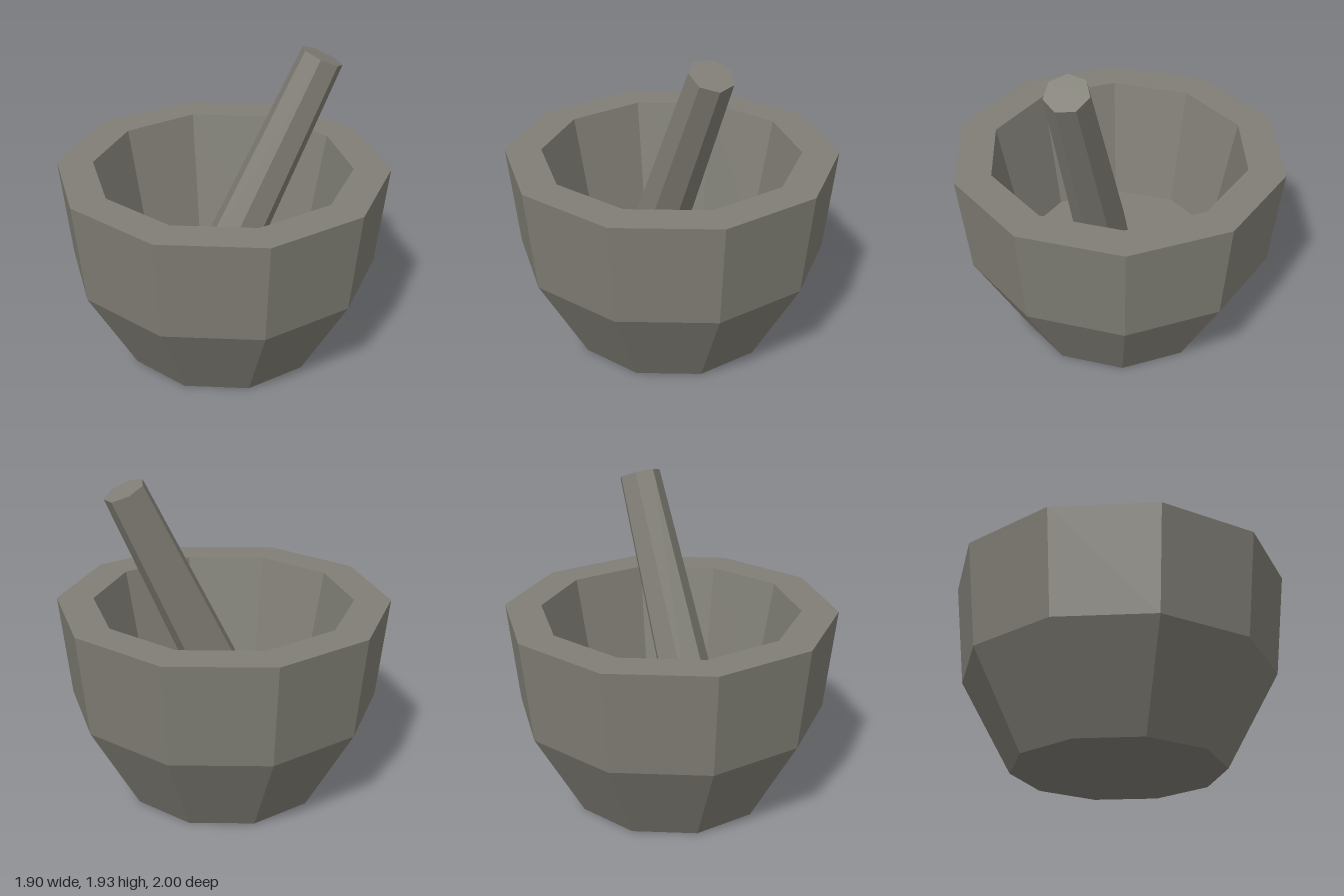
import * as THREE from 'three';

export function createModel() {
  const group = new THREE.Group();
  const stone = new THREE.MeshStandardMaterial({ color: 0x807e75, flatShading: true });
  stone.name = 'grey stone';

  // Ten-sided bowl: underside, outer wall, flat rim, inner wall, floor
  const profile = [
    [0, 0], [0.625, 0], [0.935, 0.565], [1, 1.19],
    [0.78, 1.19], [0.63, 0.43], [0, 0.43],
  ].map(([r, y]) => new THREE.Vector2(r, y));
  const bowl = new THREE.Mesh(new THREE.LatheGeometry(profile, 10), stone);
  bowl.name = 'mortarBowl';
  group.add(bowl);

  // Seven-sided tapered pestle leaning towards +x
  const foot = new THREE.Vector3(-0.053, 0.54, 0.124);
  const tip = new THREE.Vector3(0.554, 1.873, 0.124);
  const pestle = new THREE.Mesh(
    new THREE.CylinderGeometry(0.129, 0.171, foot.distanceTo(tip), 7, 1, false, Math.PI),
    stone,
  );
  pestle.name = 'pestle';
  pestle.position.copy(foot).add(tip).multiplyScalar(0.5);
  pestle.rotation.z = -Math.atan2(tip.x - foot.x, tip.y - foot.y);
  group.add(pestle);

  return group;
}
